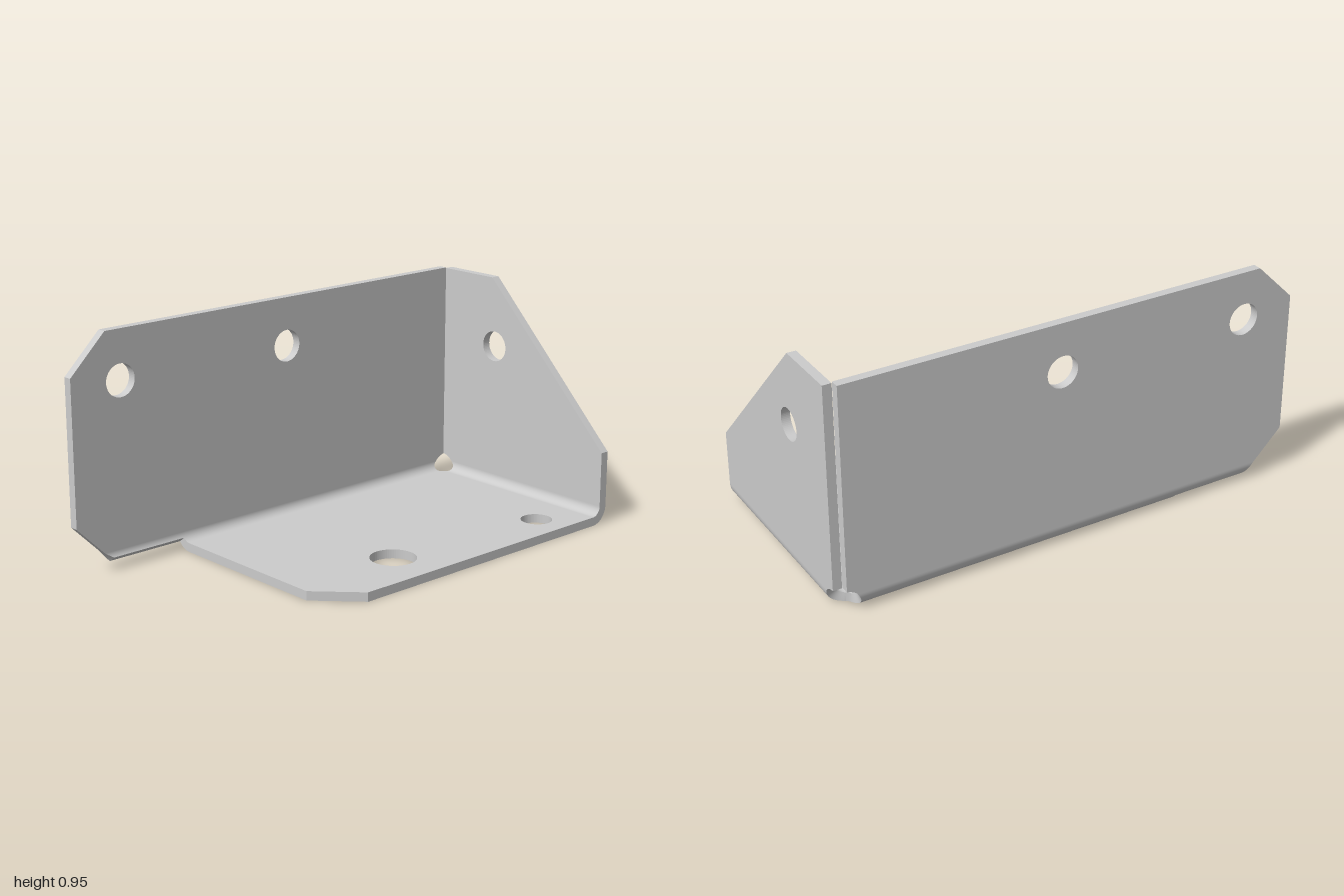
import * as THREE from 'three';

const T = 0.037;              // sheet thickness
const RO = 0.075, RI = RO - T; // outer and inner bend radii
const BX = 0.925, BZ = -0.398; // bend axes (both at y = RO)
const HALF = 0.0435;          // half the developed bend length
const RELIEF = 0.07;          // corner relief radius
const BACK_END = 0.96, SIDE_END = -0.44;

const material = new THREE.MeshStandardMaterial({ color: 0xcccccc, side: THREE.DoubleSide });

// Points on the relief circle around (cx, cy)
function reliefArc(cx, cy, a0, a1, n = 12) {
  return Array.from({ length: n + 1 }, (_, i) => {
    const a = a0 + (a1 - a0) * i / n;
    return [cx + RELIEF * Math.cos(a), cy + RELIEF * Math.sin(a)];
  });
}

// Flat panel with round holes [x, y, radius]
function panel(name, outline, holes) {
  const shape = new THREE.Shape(outline.map(([x, y]) => new THREE.Vector2(x, y)));
  for (const [x, y, r] of holes) {
    shape.holes.push(new THREE.Path().absarc(x, y, r, 0, Math.PI * 2, true));
  }
  const geometry = new THREE.ExtrudeGeometry(shape, { depth: T, bevelEnabled: false, curveSegments: 32 });
  const mesh = new THREE.Mesh(geometry, material);
  mesh.name = name;
  return mesh;
}

// Curved strip from angle a0 (wall) to a1 (base); start/end give its extent at each angle
function bend(name, place, a0, a1, start, end, cap = false) {
  const n = 16, pos = [], idx = [];
  const corners = a => [[start(a), RO], [end(a), RO], [end(a), RI], [start(a), RI]]
    .map(([u, r]) => place(u, a, r));
  for (let k = 0; k < 4; k++) {
    const base = pos.length / 3;
    for (let i = 0; i <= n; i++) {
      const c = corners(a0 + (a1 - a0) * i / n);
      pos.push(...c[k], ...c[(k + 1) % 4]);
      if (i < n) {
        const j = base + i * 2;
        idx.push(j, j + 1, j + 2, j + 1, j + 3, j + 2);
      }
    }
  }
  if (cap) {
    const j = pos.length / 3;
    corners(a1).forEach(p => pos.push(...p));
    idx.push(j, j + 1, j + 2, j, j + 2, j + 3);
  }
  const geometry = new THREE.BufferGeometry();
  geometry.setAttribute('position', new THREE.Float32BufferAttribute(pos, 3));
  geometry.setIndex(idx);
  geometry.computeVertexNormals();
  const mesh = new THREE.Mesh(geometry, material);
  mesh.name = name;
  return mesh;
}

export function createModel() {
  const group = new THREE.Group();
  group.name = 'cornerBracket';

  // Relief centre in the unfolded sheet, seen from each panel
  const cx = BX + HALF, cz = BZ - HALF, cy = RO - HALF;
  const low = Math.asin(HALF / RELIEF);

  // Base plate, drawn in x and z
  const base = panel('basePlate', [
    [-0.5, BZ], [-0.5, 0.31], [-0.34, 0.473], [BX, 0.473],
    ...reliefArc(cx, cz, Math.PI / 2 + low, Math.PI - low, 4),
  ], [[-0.015, 0.265, 0.093], [0.735, 0.33, 0.065]]);
  base.geometry.rotateX(Math.PI / 2).translate(0, T, 0);

  // Back plate, drawn in x and y
  const back = panel('backPlate', [
    [-0.875, RO], [-1, 0.2], [-1, 0.79], [-0.84, 0.946], [BACK_END, 0.946],
    ...reliefArc(cx, cy, Math.acos((BACK_END - cx) / RELIEF), Math.PI - low),
  ], [[-0.775, 0.745, 0.066], [0.05, 0.745, 0.066]]);
  back.geometry.translate(0, 0, -0.473);

  // Side plate, drawn in z and y
  const side = panel('sidePlate', [
    [0.473, RO], [0.473, 0.306], [-0.162, 0.943], [SIDE_END, 0.943],
    ...reliefArc(cz, cy, Math.acos((SIDE_END - cz) / RELIEF), low),
  ], [[-0.142, 0.646, 0.065]]);
  side.geometry.rotateY(-Math.PI / 2).translate(1, 0, 0);

  // Bends, trimmed by the corner relief
  const along = a => a / (Math.PI / 2) * 2 * HALF;
  const trim = a => Math.sqrt(RELIEF ** 2 - (along(a) - HALF) ** 2);
  const backPlace = (u, a, r) => [u, RO - r * Math.sin(a), BZ - r * Math.cos(a)];
  const sidePlace = (u, a, r) => [BX + r * Math.cos(a), RO - r * Math.sin(a), u];
  const split = 0.645; // the overhanging part of the back stops here

  group.add(
    base, back, side,
    bend('backBendUpper', backPlace, 0, split, a => -0.875 + along(a), a => cx - trim(a), true),
    bend('backBendLower', backPlace, split, Math.PI / 2, () => -0.5, a => cx - trim(a)),
    bend('sideBend', sidePlace, 0, Math.PI / 2, a => cz + trim(a), () => 0.473),
  );
  return group;
}
